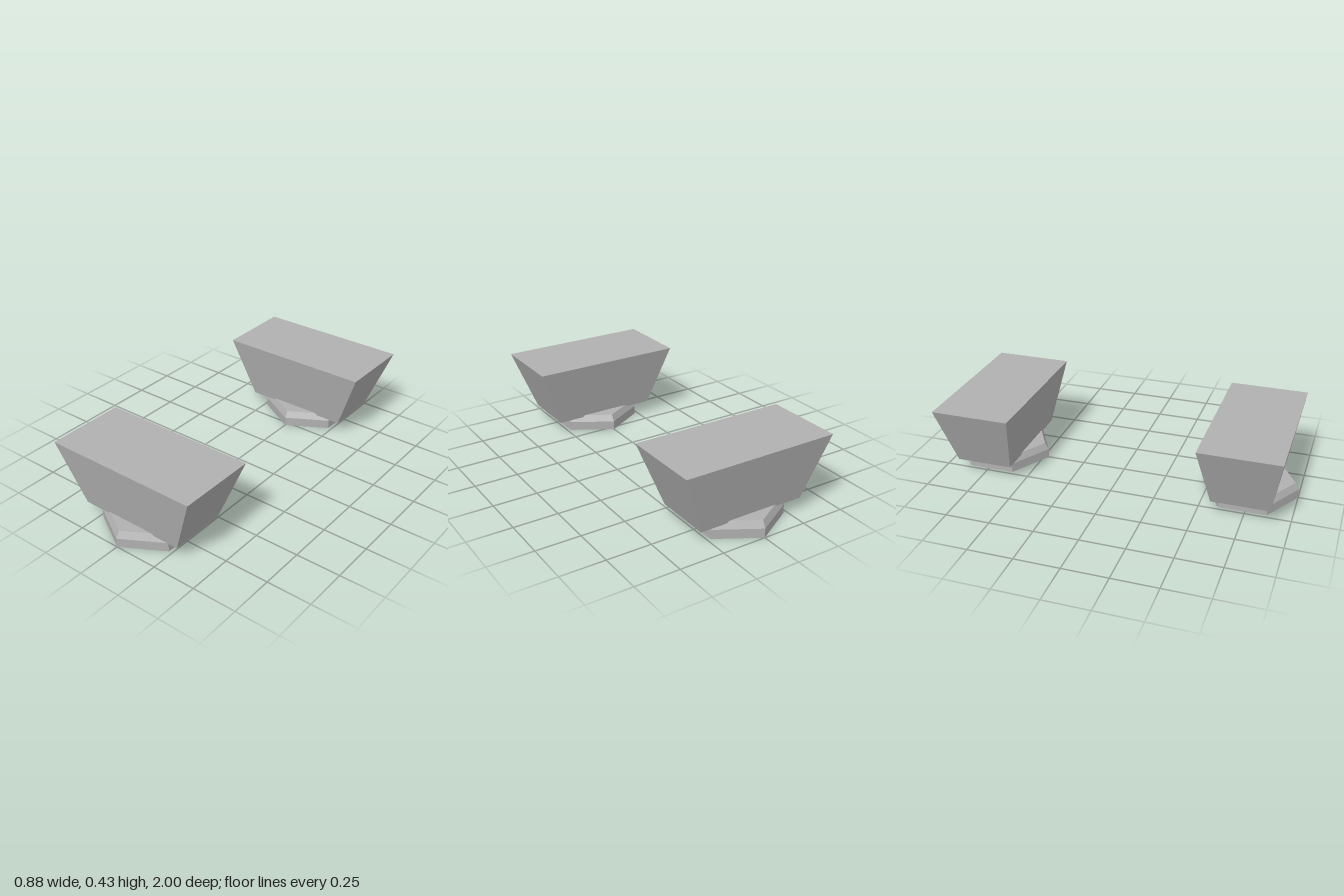
import * as THREE from 'three';

const grey = new THREE.MeshStandardMaterial({ color: 0xb0b0b0, flatShading: true });
grey.name = 'grey';

// Hexagonal foot with a bevelled upper rim, one corner pointing forward
function makeFoot() {
  const profile = [[0, 0], [0.265, 0], [0.265, 0.052], [0.244, 0.09], [0, 0.09]];
  const geometry = new THREE.LatheGeometry(profile.map(([r, y]) => new THREE.Vector2(r, y)), 6);
  const foot = new THREE.Mesh(geometry, grey);
  foot.name = 'hexagonalFoot';
  return foot;
}

// Block whose four sides flare outwards towards the top
function makeBlock() {
  const bottom = 0.078, top = 0.43;
  const geometry = new THREE.BoxGeometry(2, top - bottom, 2);
  geometry.translate(0, (top + bottom) / 2, 0);
  const p = geometry.attributes.position;
  for (let i = 0; i < p.count; i++) {
    const upper = p.getY(i) > 0.2;
    p.setX(i, p.getX(i) * (upper ? 0.442 : 0.309));
    p.setZ(i, p.getZ(i) * (upper ? 0.22 : 0.159));
  }
  geometry.computeVertexNormals();
  const block = new THREE.Mesh(geometry, grey);
  block.name = 'flaredBlock';
  return block;
}

export function createModel() {
  const model = new THREE.Group();
  model.name = 'pairOfPedestals';
  // One pedestal at the front, one at the back
  for (const side of [1, -1]) {
    const pedestal = new THREE.Group();
    pedestal.name = side > 0 ? 'frontPedestal' : 'backPedestal';
    pedestal.add(makeFoot(), makeBlock());
    pedestal.position.z = side * 0.735;
    model.add(pedestal);
  }
  return model;
}
